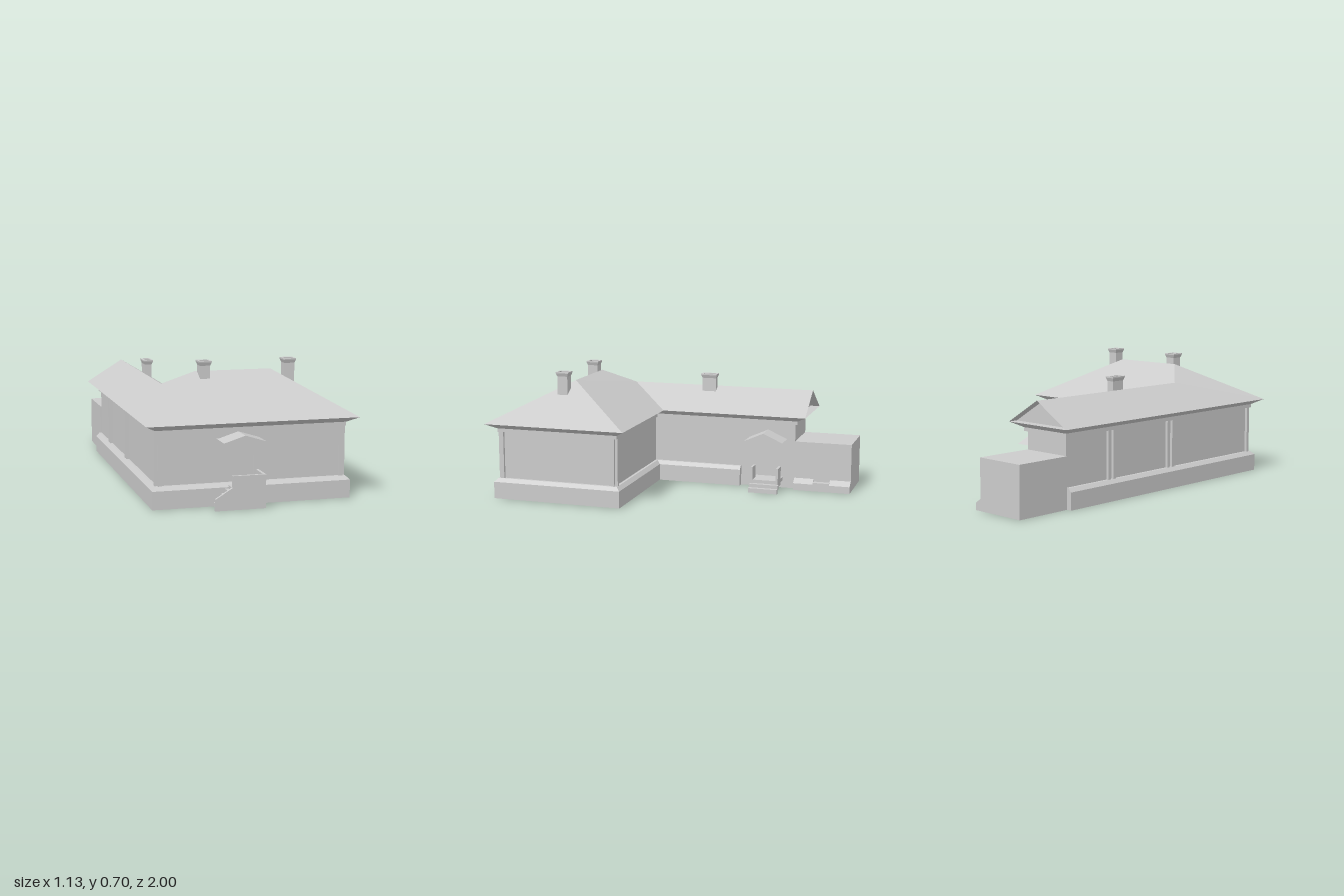
import * as THREE from 'three';

const mat = new THREE.MeshStandardMaterial({ color: 0xcccccc, side: THREE.DoubleSide, flatShading: true });

function add(parent, geo, name) {
  const m = new THREE.Mesh(geo, mat);
  m.name = name;
  parent.add(m);
  return m;
}

// Box given by its limits on each axis
function box(parent, name, x0, x1, y0, y1, z0, z1) {
  const m = add(parent, new THREE.BoxGeometry(x1 - x0, y1 - y0, z1 - z0), name);
  m.position.set((x0 + x1) / 2, (y0 + y1) / 2, (z0 + z1) / 2);
  return m;
}

// Flat faces, each a fan of triangles round its first corner
function faces(parent, name, polys) {
  const pos = [];
  for (const p of polys)
    for (let i = 1; i < p.length - 1; i++) pos.push(...p[0], ...p[i], ...p[i + 1]);
  const g = new THREE.BufferGeometry();
  g.setAttribute('position', new THREE.Float32BufferAttribute(pos, 3));
  g.computeVertexNormals();
  return add(parent, g, name);
}

// Skin between rings of points, listed from bottom to top
function loft(parent, name, rings, closed = true) {
  const quads = [];
  for (let i = 0; i < rings.length - 1; i++) {
    const a = rings[i], b = rings[i + 1], n = a.length;
    for (let j = 0; j < (closed ? n : n - 1); j++) {
      const k = (j + 1) % n;
      quads.push([a[j], a[k], b[k], b[j]]);
    }
  }
  return faces(parent, name, quads);
}

// L-shaped eaves outline with the inward direction at each corner
const outline = [
  [-0.565, 0.93, 1, -1], [0.565, 0.93, -1, -1], [0.565, 0.11, -1, 1],
  [-0.14, 0.11, -1, 1], [-0.14, -0.74, -1, 1], [-0.565, -0.74, 1, 1],
];
const ring = (d, y) => outline.map(([x, z, sx, sz]) => [x + sx * d, y, z + sz * d]);

// Plinth path: from the left back corner round to the middle of the wing
function plinthRing(d, y) {
  const r = ring(d, y);
  return [[r[5][0], y, -0.67], r[0], r[1], r[2], r[3], [r[4][0], y, -0.35]];
}

function chimney(parent, x, z, w, d, y0, y1) {
  const sq = (o, y) => [[-1, 1], [1, 1], [1, -1], [-1, -1]].map(([i, j]) =>
    [x + i * (w / 2 + o), y, z + j * (d / 2 + o)]);
  const top = y1 - 0.025;
  loft(parent, 'chimney', [sq(0, y0), sq(0, top), sq(0.007, y1 - 0.007), sq(0.007, y1),
    sq(-0.005, y1), sq(-0.005, y1 - 0.012)]);
  faces(parent, 'chimneyTop', [sq(-0.005, y1 - 0.012)]);
}

// Small gabled canopy, extruded along +z
function canopy(parent, name, w, h, depth) {
  const s = new THREE.Shape([[-w, 0], [-w + 0.025, 0], [0, h - 0.012], [w - 0.025, 0], [w, 0], [0, h]]
    .map(([x, y]) => new THREE.Vector2(x, y)));
  return add(parent, new THREE.ExtrudeGeometry(s, { depth, bevelEnabled: false }), name);
}

export function createModel() {
  const house = new THREE.Group();
  house.name = 'house';

  // Walls, cornice band and sloping soffit
  loft(house, 'walls', [ring(0.07, 0.115), ring(0.07, 0.38)]);
  loft(house, 'cornice', [ring(0.07, 0.38), ring(0.055, 0.38), ring(0.055, 0.4), ring(0, 0.43)]);
  loft(house, 'plinth', [plinthRing(0.035, 0), plinthRing(0.035, 0.095),
    plinthRing(0.055, 0.115), plinthRing(0.07, 0.115)], false);
  faces(house, 'plinthEnd', [[[-0.21, 0, -0.35], [-0.175, 0, -0.35], [-0.175, 0.095, -0.35],
    [-0.195, 0.115, -0.35], [-0.21, 0.115, -0.35]].reverse(),
  [[-0.53, 0, -0.67], [-0.495, 0, -0.67], [-0.495, 0.115, -0.67], [-0.51, 0.115, -0.67], [-0.53, 0.095, -0.67]].reverse()]);
  const low = y => [[-0.21, y, -0.35], [-0.21, y, -0.67], [-0.495, y, -0.67]];
  loft(house, 'lowerWall', [low(0), low(0.115)], false);

  // Hipped main roof running into the gabled wing roof
  const A = [-0.565, 0.43, 0.93], B = [0.565, 0.43, 0.93], C = [0.565, 0.43, 0.11];
  const D = [-0.14, 0.43, 0.11], E = [-0.14, 0.43, -0.74], F = [-0.565, 0.43, -0.74];
  const R1 = [-0.21, 0.645, 0.52], R2 = [0.21, 0.645, 0.52];
  const V = [-0.353, 0.56, 0.353], W = [-0.353, 0.56, -0.74];
  faces(house, 'roof', [[A, B, R2, R1], [B, C, R2], [V, R1, R2, C, D], [D, E, W, V], [V, W, F, A, R1]]);
  const g = -0.685;
  faces(house, 'gable', [
    [[-0.14, 0.43, g], [-0.565, 0.43, g], [-0.353, 0.56, g]],
    [E, F, [-0.565, 0.43, g], [-0.14, 0.43, g]],
  ]);

  // Corner pilasters, one on each face of a corner
  for (const s of [-1, 1]) {
    const xi = s * 0.485;
    box(house, 'frontPilaster', xi - 0.01, xi + 0.01, 0.115, 0.38, 0.86, 0.875);
  }
  box(house, 'backPilaster', 0.475, 0.495, 0.115, 0.38, 0.165, 0.18);
  for (const z of [0.85, 0.19]) box(house, 'rightPilaster', 0.495, 0.51, 0.115, 0.38, z - 0.01, z + 0.01);
  for (const z of [0.85, 0.16, 0.12, -0.32, -0.36])
    box(house, 'leftPilaster', -0.51, -0.495, 0.115, 0.38, z - 0.01, z + 0.01);

  chimney(house, -0.17, 0.555, 0.055, 0.06, 0.58, 0.705);
  chimney(house, 0.297, 0.555, 0.055, 0.06, 0.56, 0.705);
  chimney(house, -0.327, -0.122, 0.04, 0.082, 0.53, 0.635);

  // Front porch: stepped screen wall, landing, side wall and stairs
  const porch = new THREE.Group();
  porch.name = 'frontPorch';
  house.add(porch);
  const screen = new THREE.Shape([[-0.23, 0], [0.035, 0], [0.035, 0.175], [-0.14, 0.175], [-0.14, 0.115], [-0.23, 0.06]]
    .map(([x, y]) => new THREE.Vector2(x, y)));
  add(porch, new THREE.ExtrudeGeometry(screen, { depth: 0.015, bevelEnabled: false }), 'porchScreen').position.z = 0.985;
  box(porch, 'porchSide', 0.02, 0.035, 0, 0.175, 0.875, 0.985);
  box(porch, 'landing', -0.13, 0.02, 0.09, 0.105, 0.86, 0.985);
  for (let i = 0; i < 4; i++)
    box(porch, 'step', -0.21 + i * 0.02, -0.19 + i * 0.02, i * 0.022, (i + 1) * 0.022, 0.895, 0.985);
  canopy(porch, 'frontCanopy', 0.112, 0.035, 0.14).position.set(-0.075, 0.343, 0.86);
  box(porch, 'canopyBeam', -0.185, 0.035, 0.345, 0.38, 0.86, 0.875);
  box(porch, 'doorPilaster', 0.01, 0.035, 0.115, 0.345, 0.86, 0.875);

  // Side entrance on the wing
  const side = new THREE.Group();
  side.name = 'sideEntrance';
  house.add(side);
  const c = canopy(side, 'sideCanopy', 0.112, 0.05, 0.13);
  c.rotation.y = Math.PI / 2;
  c.position.set(-0.21, 0.29, -0.51);
  box(side, 'sideLanding', -0.21, -0.085, 0.045, 0.065, -0.6, -0.44);
  box(side, 'sideStep', -0.085, -0.06, 0.02, 0.045, -0.605, -0.435);
  box(side, 'sideStep', -0.06, -0.035, 0, 0.025, -0.605, -0.435);
  for (const z of [-0.595, -0.445]) box(side, 'cheekWall', -0.15, -0.075, 0.03, 0.14, z - 0.006, z + 0.006);

  // Low annex behind the wing, with a sloped footing and a doorstep
  box(house, 'annex', -0.5, -0.205, 0, 0.28, -1, -0.67);
  const foot = new THREE.Shape([[0, 0], [0.035, 0], [0.035, 0.04], [0, 0.065]].map(([x, y]) => new THREE.Vector2(x, y)));
  for (const [z, d] of [[-1, 0.12], [-0.785, 0.115]])
    add(house, new THREE.ExtrudeGeometry(foot, { depth: d, bevelEnabled: false }), 'annexFooting').position.set(-0.205, 0, z);
  box(house, 'annexDoorstep', -0.205, -0.17, 0, 0.05, -0.88, -0.785);

  return house;
}
